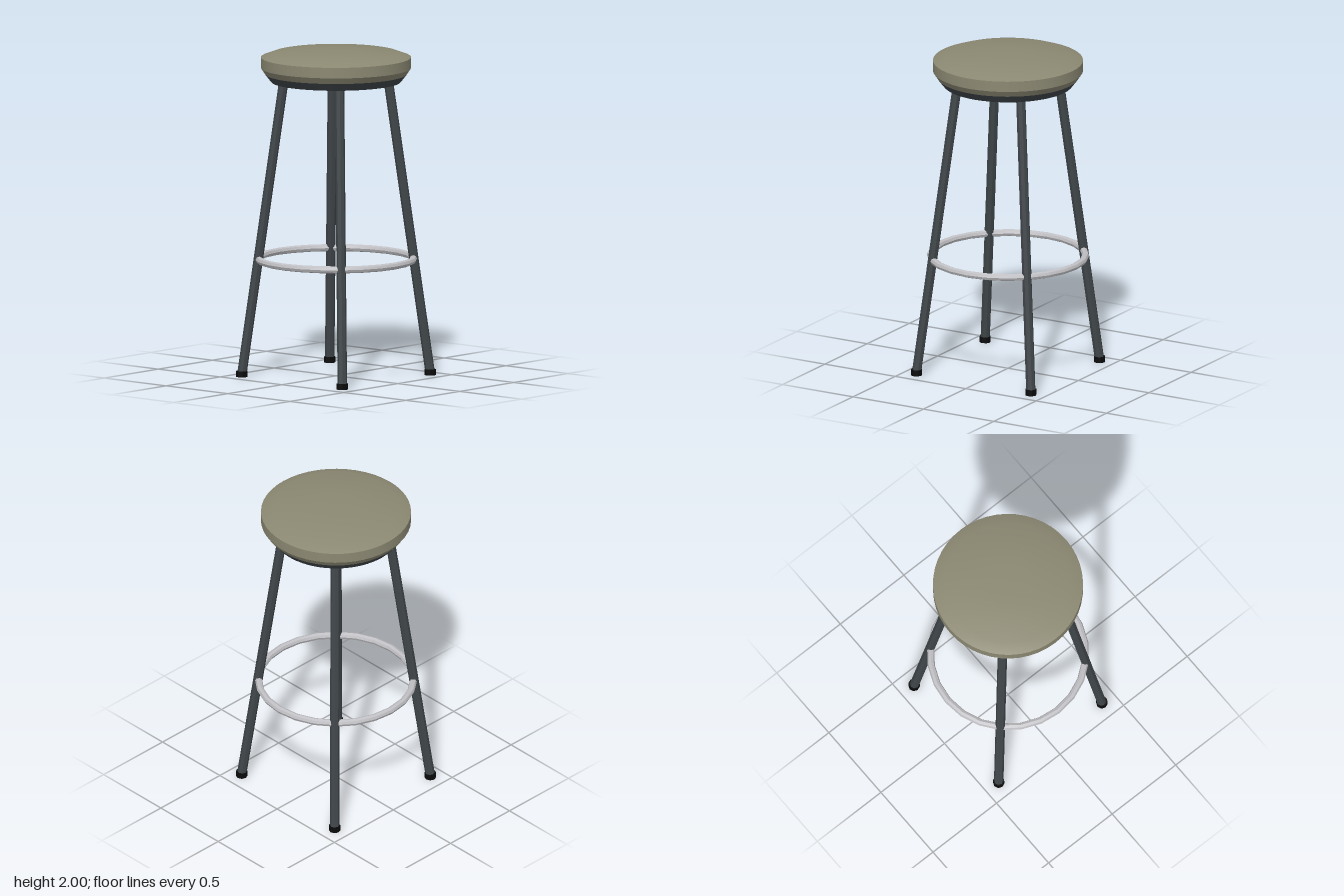
import * as THREE from 'three';
import { toCreasedNormals } from 'three/addons/utils/BufferGeometryUtils.js';

const paint = (name, color, flatShading = false) => {
  const m = new THREE.MeshStandardMaterial({ color, flatShading });
  m.name = name;
  return m;
};

export function createModel() {
  const stool = new THREE.Group();
  stool.name = 'barStool';
  const cushionTan = paint('cushionTan', 0x8b8872);
  const frameGrey = paint('frameGrey', 0x40464a);
  const chrome = paint('chrome', 0xc0c0c4);
  const rubber = paint('rubberBlack', 0x0a0a0a);

  const add = (name, geometry, material, parent = stool) => {
    const mesh = new THREE.Mesh(toCreasedNormals(geometry, 0.35), material);
    mesh.name = name;
    parent.add(mesh);
    return mesh;
  };
  // Profiles run bottom to top so the faces point outwards
  const turned = (points) =>
    new THREE.LatheGeometry(points.map(([r, y]) => new THREE.Vector2(r, y)), 48);

  // Padded seat with a slightly domed top
  add('seatCushion', turned([
    [0, 1.855], [0.43, 1.855], [0.457, 1.895], [0.457, 1.96],
    [0.385, 1.986], [0.13, 1.999], [0, 2],
  ]), cushionTan);

  // Tapered pan under the cushion
  add('seatPan', turned([[0, 1.81], [0.395, 1.81], [0.432, 1.857], [0, 1.857]]), frameGrey);

  // Foot ring
  const ring = new THREE.TorusGeometry(0.473, 0.022, 8, 24);
  ring.rotateX(Math.PI / 2);
  add('footRing', ring, chrome).position.y = 0.72;

  // Four splayed legs with rubber feet
  for (const sx of [1, -1]) for (const sz of [1, -1]) {
    const leg = new THREE.Group();
    leg.name = (sz > 0 ? 'front' : 'back') + (sx > 0 ? 'Left' : 'Right') + 'Leg';
    stool.add(leg);
    const foot = new THREE.Vector3(sx * 0.406, 0.015, sz * 0.406);
    const top = new THREE.Vector3(sx * 0.224, 1.83, sz * 0.224);
    const dir = top.clone().sub(foot);
    const tube = add('legTube', new THREE.CylinderGeometry(0.029, 0.029, dir.length(), 8), frameGrey, leg);
    tube.position.copy(foot).add(top).multiplyScalar(0.5);
    tube.quaternion.setFromUnitVectors(new THREE.Vector3(0, 1, 0), dir.normalize());
    add('rubberFoot', new THREE.CylinderGeometry(0.035, 0.035, 0.036, 8), rubber, leg)
      .position.set(foot.x, 0.018, foot.z);
  }
  return stool;
}
